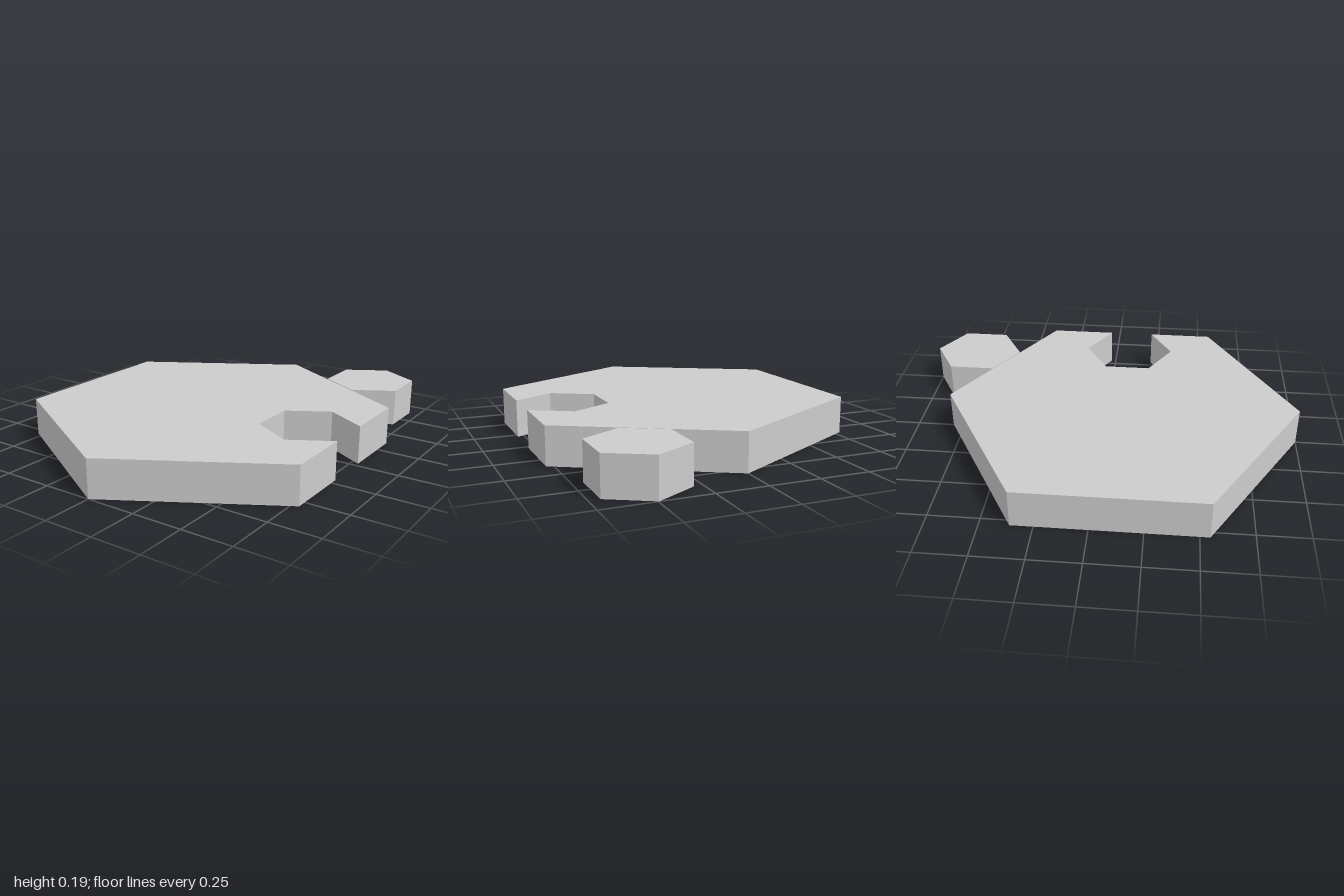
import * as THREE from 'three';

const HEIGHT = 0.19;
const material = new THREE.MeshStandardMaterial({ color: 0xcccccc, flatShading: true });

// Corners of a hexagon with points along z, as (x, z); corner 0 points to -z, then towards +x
function hexagon(x, z, radius) {
  return Array.from({ length: 6 }, (_, i) => {
    const a = (i * Math.PI) / 3;
    return new THREE.Vector2(x + radius * Math.sin(a), z - radius * Math.cos(a));
  });
}

// Stand an (x, z) outline on the ground as a flat slab
function slab(name, outline) {
  const geometry = new THREE.ExtrudeGeometry(new THREE.Shape(outline), { depth: HEIGHT, bevelEnabled: false });
  geometry.rotateX(Math.PI / 2).translate(0, HEIGHT, 0);
  const mesh = new THREE.Mesh(geometry, material);
  mesh.name = name;
  return mesh;
}

export function createModel() {
  const group = new THREE.Group();
  group.name = 'hexagonalTile';

  // Large tile with a hexagonal notch opening through its +x side
  const plate = hexagon(0, 0.094, 0.906);
  const notch = hexagon(0.579, 0.094, 0.237);
  const edgeX = plate[1].x;
  notch[1].x = notch[2].x = edgeX;
  const outline = [plate[0], plate[1], notch[1], notch[0], notch[5], notch[4], notch[3], notch[2],
    plate[2], plate[3], plate[4], plate[5]];
  group.add(slab('tilePlate', outline));

  // Small hexagonal tab beside the rear edge
  group.add(slab('hexagonalTab', hexagon(0.496, -0.766, 0.234)));

  return group;
}
